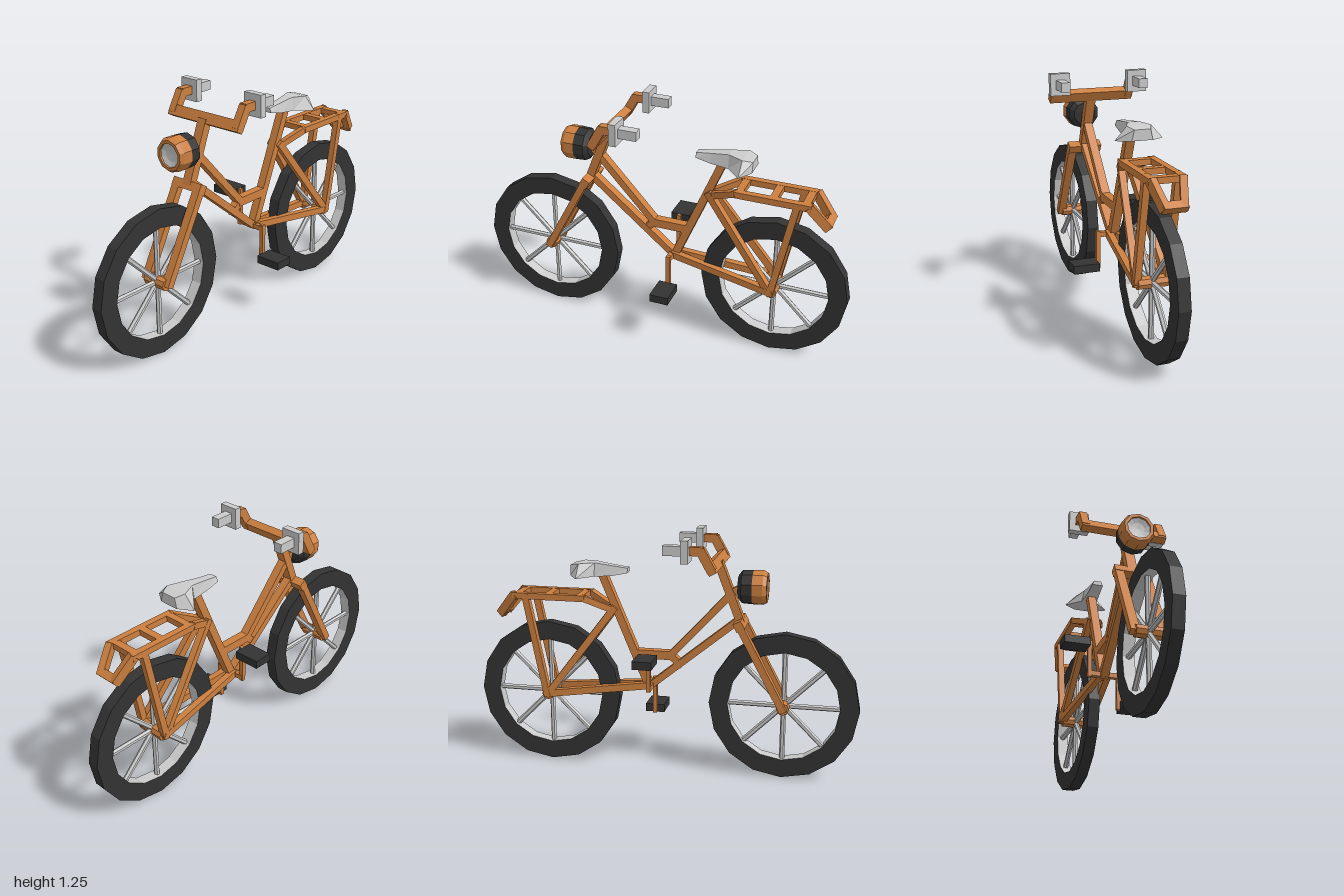
import * as THREE from 'three';

const mat = (color, side = THREE.FrontSide) =>
  new THREE.MeshStandardMaterial({ color, flatShading: true, side });

export function createModel() {
  const root = new THREE.Group();
  root.name = 'bicycle';
  const orange = mat(0xcc7f3f), dark = mat(0x333333), grey = mat(0xcccccc);
  const greyOpen = mat(0xcccccc, THREE.DoubleSide);

  const add = (name, geometry, material, x = 0, y = 0, z = 0, parent = root) => {
    const m = new THREE.Mesh(geometry, material);
    m.name = name;
    m.position.set(x, y, z);
    parent.add(m);
    return m;
  };
  const box = (name, size, pos, material) =>
    add(name, new THREE.BoxGeometry(...size), material, ...pos);

  // Rectangular tube from a to b, slightly lengthened so joints overlap
  const bar = (name, a, b, w = 0.045, h = 0.038, extra = 0.012) => {
    const A = new THREE.Vector3(...a), B = new THREE.Vector3(...b);
    const m = box(name, [w, h, A.distanceTo(B) + 2 * extra],
      A.clone().add(B).multiplyScalar(0.5).toArray(), orange);
    m.lookAt(B);
    return m;
  };
  // Turned part whose axis runs along x or z
  const lathe = (pts, sides) =>
    new THREE.LatheGeometry(pts.map(p => new THREE.Vector2(...p)), sides);

  // Wheels: tyre, rim lining, four through spokes and a hub
  const R = 0.382, r = 0.286, W = 0.03, wheelZ = 0.618;
  for (const [name, z] of [['frontWheel', wheelZ], ['rearWheel', -wheelZ]]) {
    const wheel = new THREE.Group();
    wheel.name = name;
    wheel.position.set(0, R, z);
    root.add(wheel);
    const tyre = lathe([[r, -W], [R, -W], [R, W], [r, W]], 16).rotateZ(Math.PI / 2);
    add('tyre', tyre, dark, 0, 0, 0, wheel);
    const rim = lathe([[r, W], [r, -W]], 16).rotateZ(Math.PI / 2);
    add('rim', rim, greyOpen, 0, 0, 0, wheel);
    for (let i = 0; i < 4; i++) {
      const spoke = add('spoke', new THREE.CylinderGeometry(0.014, 0.014, 2 * r, 6), grey, 0, 0, 0, wheel);
      spoke.rotation.x = i * Math.PI / 4;
    }
    const hub = new THREE.CylinderGeometry(0.032, 0.032, z > 0 ? 0.13 : 0.15, 8).rotateZ(Math.PI / 2);
    add('hub', hub, orange, 0, 0, 0, wheel);
  }

  // Central frame tubes
  bar('steeringTube', [0, 0.81, 0.39], [0, 1.1, 0.277], 0.05, 0.042);
  bar('upperDownTube', [0, 0.955, 0.342], [0, 0.62, 0.035], 0.045, 0.036);
  bar('lowerDownTube', [0, 0.825, 0.385], [0, 0.45, -0.07], 0.045, 0.036);
  bar('stepTube', [0, 0.615, 0.035], [0, 0.615, -0.15], 0.045, 0.045);
  bar('stepBrace', [0, 0.615, 0.03], [0, 0.57, 0.085], 0.04, 0.036);
  bar('seatTube', [0, 0.45, -0.085], [0, 1.025, -0.325], 0.045, 0.04);

  // Fork crown
  const crown = box('forkCrown', [0.18, 0.045, 0.045], [0, 0.805, 0.39], orange);
  crown.rotation.x = -0.5;

  // Handlebar cross piece
  const cross = box('handlebar', [0.45, 0.055, 0.04], [0, 1.112, 0.267], orange);
  cross.rotation.x = -0.5;

  // Parts that exist on both sides
  for (const s of [-1, 1]) {
    bar('forkBlade', [s * 0.068, 0.81, 0.39], [s * 0.068, R, wheelZ], 0.044, 0.036);

    bar('handlebarRiser', [s * 0.205, 1.112, 0.267], [s * 0.205, 1.192, 0.222], 0.04, 0.045);
    bar('handlebarEnd', [s * 0.205, 1.195, 0.23], [s * 0.205, 1.195, 0.16], 0.04, 0.042, 0);
    box('gripFlange', [0.103, 0.112, 0.036], [s * 0.206, 1.195, 0.147], grey);
    box('grip', [0.046, 0.048, 0.1], [s * 0.206, 1.195, 0.085], grey);

    bar('chainStay', [s * 0.02, 0.45, -0.08], [s * 0.077, R + 0.005, -wheelZ], 0.034, 0.036);
    bar('seatStay', [s * 0.025, 0.85, -0.265], [s * 0.077, R, -wheelZ], 0.034, 0.036);
    bar('rackStay', [s * 0.075, 0.91, -0.72], [s * 0.077, R, -wheelZ], 0.034, 0.034);

    // Rack rail in three straight runs
    const rail = [[0.02, 0.842, -0.27], [0.075, 0.908, -0.41], [0.075, 0.908, -0.78], [0.046, 0.805, -0.865]];
    for (let i = 0; i < 3; i++) {
      const [a, b] = [rail[i], rail[i + 1]].map(([x, y, z]) => [s * x, y, z]);
      bar('rackRail', a, b, 0.034, i === 2 ? 0.045 : 0.032, 0.008);
    }

    // Crank arm and pedal, down on the left, up on the right
    const pedalY = 0.45 - s * 0.162;
    box('crankArm', [0.022, 0.2, 0.022], [s * 0.077, 0.45 - s * 0.082, -0.07], orange);
    box('pedal', [0.138, 0.042, 0.1], [s * 0.153, pedalY, -0.073], dark);
  }
  box('crankAxle', [0.17, 0.026, 0.026], [0, 0.45, -0.07], orange);

  // Rack cross bars
  for (const z of [-0.43, -0.6, -0.76])
    box('rackCrossBar', [0.15, 0.03, 0.038], [0, 0.908, z], orange);
  const tail = box('rackTailBar', [0.12, 0.04, 0.04], [0, 0.81, -0.86], orange);
  tail.rotation.x = -0.7;

  // Headlight: dark back shell, front ring, recessed lens, bracket
  const lampY = 0.99;
  const turned = (name, pts, material) =>
    add(name, lathe(pts, 10).rotateX(Math.PI / 2), material, 0, lampY, 0);
  turned('lampBack', [[0, 0.372], [0.06, 0.375], [0.084, 0.395], [0.087, 0.45], [0, 0.45]], dark);
  turned('lampRing', [[0.087, 0.448], [0.087, 0.5], [0.076, 0.52], [0.06, 0.52], [0.058, 0.5]], orange);
  turned('lampLens', [[0.06, 0.512], [0.035, 0.502], [0, 0.498]], greyOpen);
  bar('lampBracket', [0, 0.985, 0.39], [0, 0.957, 0.34], 0.036, 0.036);

  // Saddle lofted along z: [z, half width top, half width bottom, top y, bottom y]
  const sections = [
    [-0.19, 0.02, 0.03, 1.062, 1.038],
    [-0.27, 0.022, 0.034, 1.072, 1.022],
    [-0.36, 0.03, 0.042, 1.085, 1.016],
    [-0.435, 0.06, 0.12, 1.082, 1.016],
    [-0.483, 0.04, 0.052, 1.072, 1.02],
  ];
  const pos = [], idx = [];
  for (const [z, t, b, top, bottom] of sections)
    pos.push(-b, bottom, z, b, bottom, z, t, top, z, -t, top, z);
  for (let i = 0; i < sections.length - 1; i++)
    for (let j = 0; j < 4; j++) {
      const a = i * 4 + j, b = i * 4 + (j + 1) % 4;
      idx.push(a, b + 4, b, a, a + 4, b + 4);
    }
  const e = (sections.length - 1) * 4;
  idx.push(0, 1, 2, 0, 2, 3, e, e + 2, e + 1, e, e + 3, e + 2);
  const saddle = new THREE.BufferGeometry();
  saddle.setAttribute('position', new THREE.Float32BufferAttribute(pos, 3));
  saddle.setIndex(idx);
  saddle.computeVertexNormals();
  add('saddle', saddle, grey);

  return root;
}
